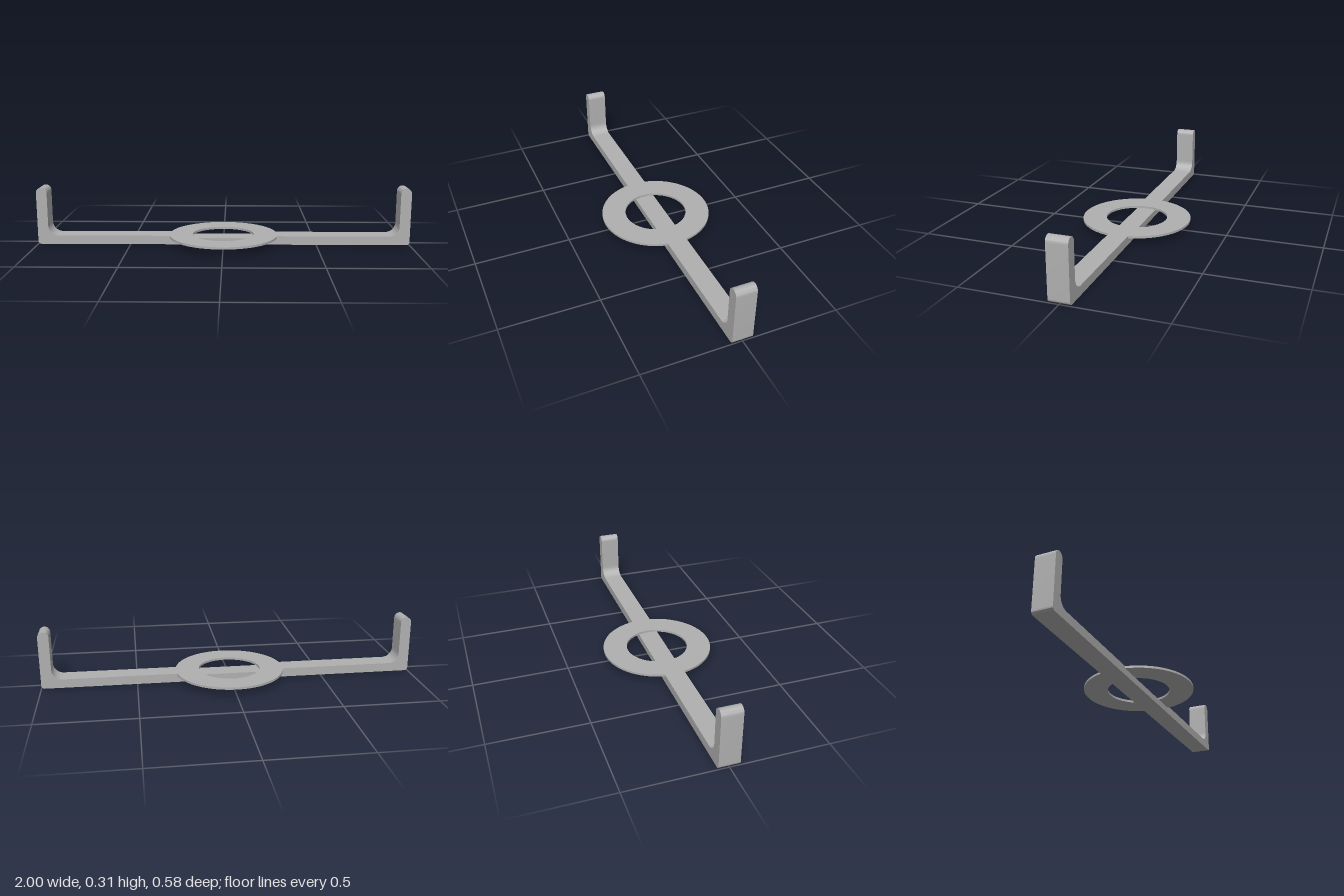
import * as THREE from 'three';
import { toCreasedNormals } from 'three/addons/utils/BufferGeometryUtils.js';

const BAR_TOP = 0.047, RECESS = 0.035, HEIGHT = 0.308, WIDTH = 0.106;
const RING_OUTER = 0.292, RING_INNER = 0.165;

// U-shaped side profile: rounded tips, filleted inner corners, recess under the ring
function bracketShape() {
  const inner = 0.943, tip = (1 - inner) / 2, fillet = 0.055, corner = 0.017;
  const notch = Math.sqrt(RING_OUTER ** 2 - (WIDTH / 2) ** 2);
  const s = new THREE.Shape();
  s.moveTo(-1 + corner, 0);
  s.lineTo(1 - corner, 0);
  s.absarc(1 - corner, corner, corner, -Math.PI / 2, 0, false);
  s.lineTo(1, HEIGHT - tip);
  s.absarc(1 - tip, HEIGHT - tip, tip, 0, Math.PI, false);
  s.lineTo(inner, BAR_TOP + fillet);
  s.absarc(inner - fillet, BAR_TOP + fillet, fillet, 0, -Math.PI / 2, true);
  s.lineTo(notch, BAR_TOP);
  s.lineTo(notch, RECESS);
  s.lineTo(-notch, RECESS);
  s.lineTo(-notch, BAR_TOP);
  s.lineTo(-inner + fillet, BAR_TOP);
  s.absarc(-inner + fillet, BAR_TOP + fillet, fillet, -Math.PI / 2, -Math.PI, true);
  s.lineTo(-inner, HEIGHT - tip);
  s.absarc(-1 + tip, HEIGHT - tip, tip, 0, Math.PI, false);
  s.lineTo(-1, corner);
  s.absarc(-1 + corner, corner, corner, Math.PI, Math.PI * 1.5, false);
  return s;
}

// Flat annulus
function ringShape() {
  const s = new THREE.Shape();
  s.absarc(0, 0, RING_OUTER, 0, Math.PI * 2, false);
  const hole = new THREE.Path();
  hole.absarc(0, 0, RING_INNER, 0, Math.PI * 2, true);
  s.holes.push(hole);
  return s;
}

function extrude(shape, depth, curveSegments) {
  return new THREE.ExtrudeGeometry(shape, { depth, curveSegments, bevelEnabled: false });
}

export function createModel() {
  const group = new THREE.Group();
  group.name = 'ringBracket';
  const grey = new THREE.MeshStandardMaterial({ color: 0xb0b0b0 });
  grey.name = 'grey';

  // Crossbar with upturned arms
  const barGeometry = extrude(bracketShape(), WIDTH, 16).translate(0, 0, -WIDTH / 2);
  const bar = new THREE.Mesh(toCreasedNormals(barGeometry, 0.6), grey);
  bar.name = 'crossbarWithArms';

  // Flat ring laid flush with the top of the crossbar
  const ringGeometry = extrude(ringShape(), BAR_TOP - RECESS, 80)
    .rotateX(-Math.PI / 2).translate(0, RECESS, 0);
  const ring = new THREE.Mesh(toCreasedNormals(ringGeometry, 0.6), grey);
  ring.name = 'centreRing';

  group.add(bar, ring);
  return group;
}
